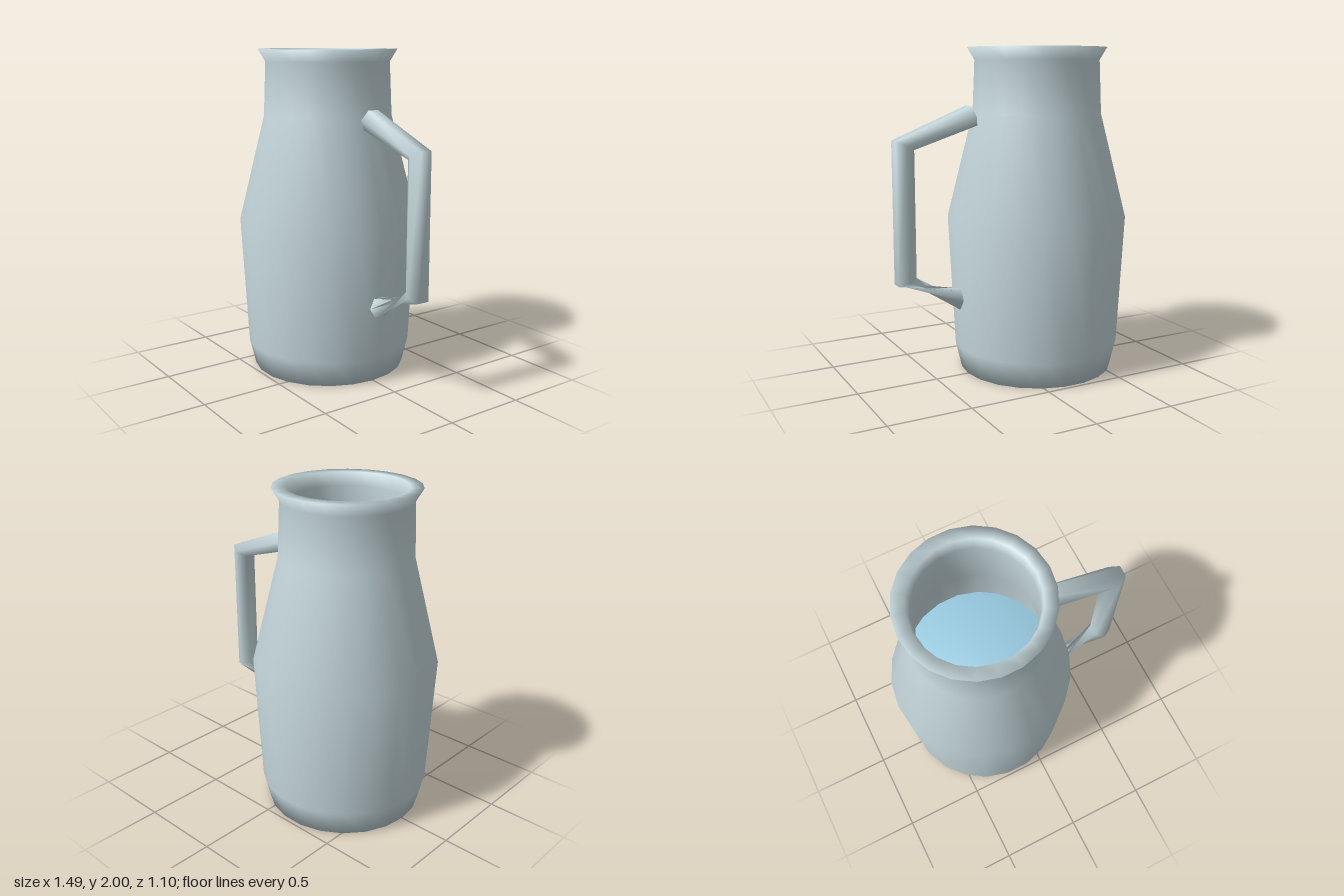
import * as THREE from 'three';

const SIDES = 22;

// Turned shape with a corner on the x axis
function turned(name, profile, material) {
  const geometry = new THREE.LatheGeometry(profile.map(([r, y]) => new THREE.Vector2(r, y)), SIDES);
  geometry.rotateY(Math.PI / 2);
  const mesh = new THREE.Mesh(geometry, material);
  mesh.name = name;
  mesh.position.x = -0.192;
  return mesh;
}

// Six-sided bar through mitred sections: centre, outward offset, half width in z
function handleGeometry(sections) {
  const points = [], index = [];
  const ring = ([cx, cy, nx, ny, w]) => {
    const first = points.length / 3;
    for (let k = 0; k < 6; k++) {
      const a = k * Math.PI / 3, s = Math.sin(a) / Math.sin(Math.PI / 3);
      points.push(cx + nx * s, cy + ny * s, w * Math.cos(a));
    }
    return first;
  };
  const rings = sections.map(ring);
  for (let s = 0; s < rings.length - 1; s++) {
    for (let k = 0; k < 6; k++) {
      const a = rings[s] + k, b = rings[s] + (k + 1) % 6;
      const c = rings[s + 1] + k, d = rings[s + 1] + (k + 1) % 6;
      index.push(a, c, b, b, c, d);
    }
  }
  // End caps with their own corners
  const start = ring(sections[0]), end = ring(sections[sections.length - 1]);
  for (let k = 1; k < 5; k++) {
    index.push(start, start + k, start + k + 1, end, end + k + 1, end + k);
  }
  const geometry = new THREE.BufferGeometry();
  geometry.setAttribute('position', new THREE.Float32BufferAttribute(points, 3));
  geometry.setIndex(index);
  geometry.computeVertexNormals();
  return geometry;
}

export function createModel() {
  const glaze = new THREE.MeshStandardMaterial({ color: 0xc5d7dc, side: THREE.DoubleSide });
  glaze.name = 'paleGlaze';
  const blue = new THREE.MeshStandardMaterial({ color: 0x9bcde4 });
  blue.name = 'waterBlue';

  const model = new THREE.Group();
  model.name = 'jug';

  // Outer wall up to the flared lip, then down the inner wall to the floor
  model.add(turned('body', [
    [0, 0], [0.479, 0], [0.517, 0.16], [0.558, 0.96], [0.397, 1.6], [0.383, 1.925], [0.428, 2],
    [0.352, 2], [0.337, 1.92], [0.345, 1.58], [0.505, 0.95], [0.465, 0.18], [0.43, 0.06], [0, 0.06],
  ], glaze));

  // Water filling the belly
  model.add(turned('water', [
    [0, 0.07], [0.42, 0.07], [0.46, 0.19], [0.495, 0.95], [0.455, 1.1], [0, 1.1],
  ], blue));

  // Handle, with its lowest bar turned half round
  const handle = new THREE.Mesh(handleGeometry([
    [0.251, 1.598, 0.021, 0.058, 0.071],
    [0.688, 1.44, 0.056, 0.027, 0.071],
    [0.688, 0.64, 0.056, -0.021, 0.071],
    [0.347, 0.487, -0.006, 0.058, -0.071],
  ]), glaze);
  handle.name = 'handle';
  model.add(handle);

  return model;
}
